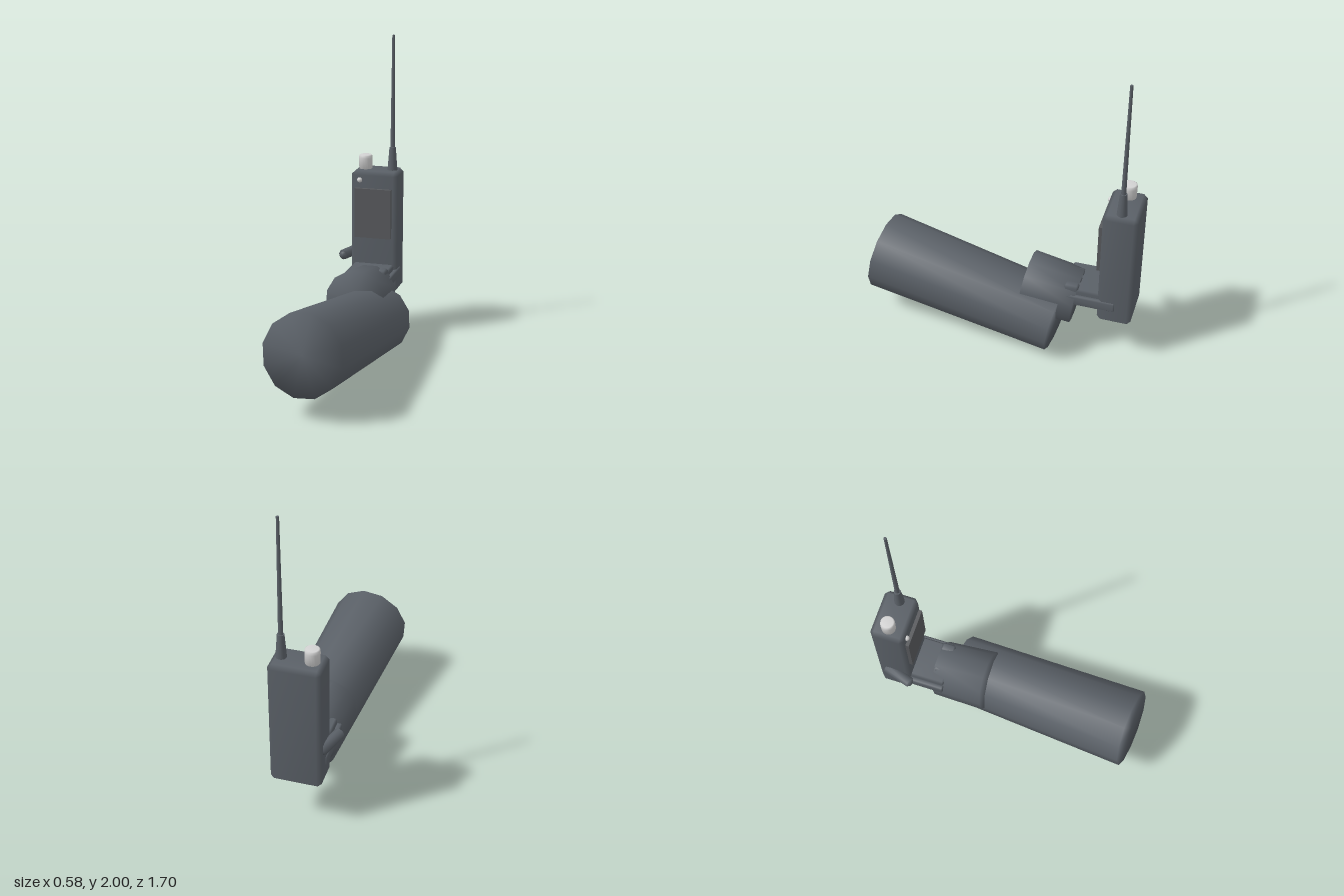
import * as THREE from 'three';
import { mergeVertices } from 'three/addons/utils/BufferGeometryUtils.js';
import { ConvexGeometry } from 'three/addons/geometries/ConvexGeometry.js';

const paint = (name, color) => {
  const m = new THREE.MeshStandardMaterial({ color });
  m.name = name;
  return m;
};

// Weld corners so shading flows over the edges
function soften(geometry) {
  geometry.deleteAttribute('normal');
  geometry.deleteAttribute('uv');
  const g = mergeVertices(geometry, 1e-4);
  g.computeVertexNormals();
  return g;
}

// Box with chamfered edges, given by its two extreme corners
function chamferBox(a, b, c) {
  const points = [];
  for (let axis = 0; axis < 3; axis++) {
    for (let i = 0; i < 8; i++) {
      const p = [0, 1, 2].map((k) => {
        const inset = k === axis ? 0 : c;
        return (i >> k) & 1 ? b[k] - inset : a[k] + inset;
      });
      points.push(new THREE.Vector3(...p));
    }
  }
  return soften(new ConvexGeometry(points));
}

// Tapered cylinder running between two points
function limb(from, to, r0, r1, sides, soft = true) {
  const a = new THREE.Vector3(...from);
  const b = new THREE.Vector3(...to);
  const dir = b.clone().sub(a);
  let g = new THREE.CylinderGeometry(r1, r0, dir.length(), sides);
  g.rotateY(Math.PI / sides);
  if (soft) g = soften(g);
  g.applyQuaternion(new THREE.Quaternion().setFromUnitVectors(
    new THREE.Vector3(0, 1, 0), dir.normalize()));
  const mid = a.add(b).multiplyScalar(0.5);
  return g.translate(mid.x, mid.y, mid.z);
}

export function createModel() {
  const model = new THREE.Group();
  model.name = 'armWithRadio';
  const dark = paint('slateGrey', 0x5a6067);
  const panel = paint('panelGrey', 0x585a5d);
  const light = paint('lightGrey', 0xd2d2d2);
  const add = (name, geometry, material) => {
    const mesh = new THREE.Mesh(geometry, material);
    mesh.name = name;
    model.add(mesh);
    return mesh;
  };

  // Forearm and hand
  add('forearm', limb([0.07, 0.215, -0.38], [-0.05, 0.39, 0.81], 0.217, 0.25, 12), dark);
  add('hand', limb([-0.02, 0.355, -0.485], [-0.025, 0.4, -0.155], 0.178, 0.192, 12), dark);
  add('palm', chamferBox([-0.17, 0.37, -0.65], [0.1, 0.5, -0.42], 0.012), dark);

  // Fingers hugging both sides of the radio
  for (const [name, x] of [['leftFinger', 0.09], ['rightFinger', -0.2]]) {
    add(name, chamferBox([x, 0.4, -0.745], [x + 0.035, 0.465, -0.42], 0.008), dark);
  }
  // Finger roots rising over the back of the hand
  for (const x of [-0.07, 0.0, 0.07]) {
    add('knuckle', chamferBox([x - 0.03, 0.44, -0.51], [x + 0.03, 0.52, -0.42], 0.012), dark);
  }
  add('thumb', limb([-0.185, 0.55, -0.79], [-0.238, 0.55, -0.618], 0.034, 0.034, 8), dark);
  add('thumbTip', limb([-0.238, 0.55, -0.618], [-0.242, 0.55, -0.605], 0.03, 0.018, 8), dark);

  // Radio body
  add('radioBody', chamferBox([-0.192, 0.3, -0.848], [0.117, 1.12, -0.636], 0.025), dark);
  add('frontPanel', new THREE.BoxGeometry(0.245, 0.33, 0.03).translate(-0.038, 0.845, -0.629), panel);
  add('indicatorLamp', new THREE.SphereGeometry(0.017, 12, 8).translate(-0.13, 1.064, -0.632), light);

  // Volume knob with a softened top edge
  const knobProfile = [[0, 1.11], [0.043, 1.11], [0.045, 1.19], [0.043, 1.207], [0.036, 1.212], [0, 1.212]]
    .map(([r, y]) => new THREE.Vector2(r, y));
  add('knob', new THREE.LatheGeometry(knobProfile, 20).translate(-0.12, 0, -0.745), light);

  // Aerial: thick sleeve and thin whip
  add('aerialSleeve', limb([0.062, 1.11, -0.742], [0.062, 1.27, -0.742], 0.033, 0.021, 12, false), dark);
  add('aerialWhip', limb([0.062, 1.26, -0.742], [0.062, 2, -0.742], 0.015, 0.009, 10, false), dark);

  return model;
}
